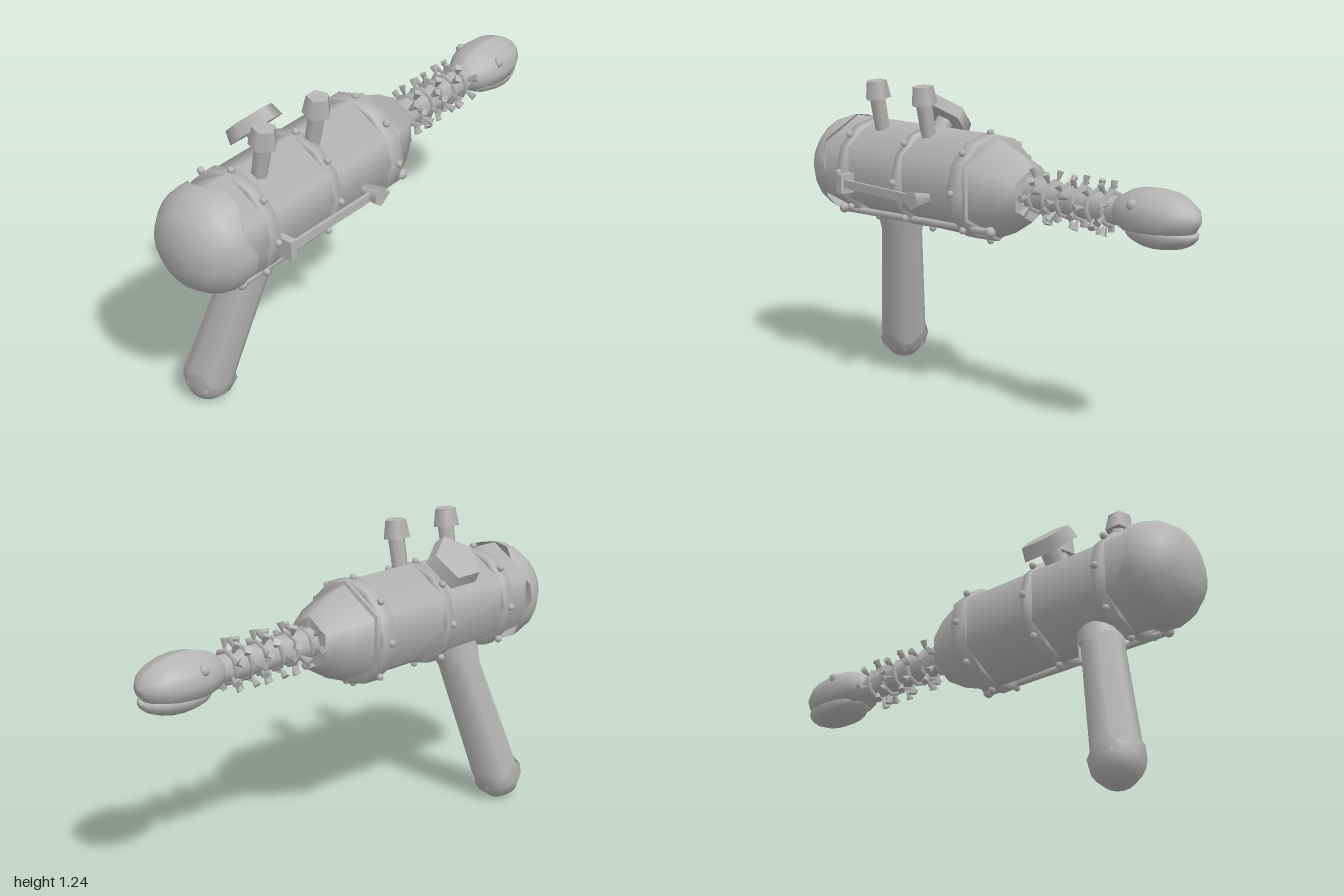
import * as THREE from 'three';

export function createModel() {
  const model = new THREE.Group();
  const grey = new THREE.MeshStandardMaterial({ color: 0xb4b4b4, side: THREE.DoubleSide });
  grey.name = 'plain grey';
  const V = (x, y, z) => new THREE.Vector3(x, y, z);
  const UP = V(0, 1, 0);
  const AXIS = 0.865; // height of the barrel axis

  function add(name, geometry, x = 0, y = 0, z = 0, parent = model) {
    const mesh = new THREE.Mesh(geometry, grey);
    mesh.name = name;
    mesh.position.set(x, y, z);
    parent.add(mesh);
    return mesh;
  }
  const lathe = (pts, sides, start = 0) =>
    new THREE.LatheGeometry(pts.map(p => new THREE.Vector2(p[0], p[1])), sides, start);
  // Lathe with one rim row cut into blocky teeth
  function toothed(pts, sides, row, depth) {
    const g = lathe(pts, sides), pos = g.attributes.position;
    for (let i = 0; i <= sides; i++) {
      const k = i * pts.length + row;
      if (Math.floor((i % sides) / 2) % 2) pos.setY(k, pos.getY(k) + depth);
    }
    return g;
  }
  // Lathe profile [radius, x] turned round the barrel axis
  function turned(name, geometry) {
    const mesh = add(name, geometry, 0, AXIS, 0);
    mesh.rotation.z = -Math.PI / 2;
    return mesh;
  }
  // Tapered bar between two points
  function bar(name, a, b, r1, r2, sides) {
    const d = b.clone().sub(a);
    const mesh = add(name, new THREE.CylinderGeometry(r2, r1, d.length(), sides));
    mesh.position.copy(a).addScaledVector(d, 0.5);
    mesh.quaternion.setFromUnitVectors(UP, d.normalize());
    return mesh;
  }

  // Six-sided barrel, nose cone and end plates
  const HEX = Math.PI / 6;
  turned('barrel', lathe([[0.208, -0.84], [0.212, 0.015]], 6, HEX));
  turned('barrelRim', lathe([[0.212, 0.015], [0.192, 0.022]], 6, HEX));
  turned('noseCone', lathe([[0.198, 0.018], [0.163, 0.11], [0.108, 0.2]], 6, HEX));
  turned('nosePlate', lathe([[0.108, 0.2], [0, 0.2]], 6, HEX));

  // Rounded rear cap with a toothed edge
  turned('rearDome', toothed([[0, -1], [0.075, -0.997], [0.15, -0.96], [0.195, -0.9],
    [0.208, -0.855], [0.21, -0.805]], 20, 5, -0.04));

  // Riveted bands
  for (const [x, width, r] of [[-0.71, 0.045, 0.211], [-0.37, 0.035, 0.211], [-0.03, 0.06, 0.213]]) {
    turned('band', lathe([[r - 0.03, x - width / 2], [r, x - width / 2],
      [r, x + width / 2], [r - 0.03, x + width / 2]], 12));
    for (let i = 0; i < 8; i++) {
      const a = i * Math.PI / 4;
      add('rivet', new THREE.SphereGeometry(0.015, 6, 5),
        x, AXIS + 0.216 * Math.cos(a), 0.216 * Math.sin(a));
    }
  }

  // Slanting grip with toothed collar and end cap
  const grip = new THREE.Group();
  grip.name = 'grip';
  grip.position.set(-0.757, 0.008, -0.172);
  grip.quaternion.setFromUnitVectors(UP, V(0.14, 0.55, 0.125).normalize());
  model.add(grip);
  add('gripShaft', lathe([[0.1, 0.07], [0.085, 0.74]], 7), 0, 0, 0, grip);
  add('gripCap', toothed([[0, 0], [0.06, 0.014], [0.097, 0.065], [0.107, 0.14]], 16, 3, -0.035), 0, 0, 0, grip);
  add('gripCollar', toothed([[0.092, 0.635], [0.092, 0.72]], 16, 0, 0.03), 0, 0, 0, grip);

  // Bent neck tube with collars of thorns
  bar('neck', V(0.19, 0.872, 0), V(0.66, 0.865, 0), 0.062, 0.055, 8);
  for (let ring = 0; ring < 6; ring++) {
    const x = 0.235 + ring * 0.074;
    const collar = add('neckCollar', new THREE.TorusGeometry(0.062, 0.011, 4, 8), x, 0.868, 0);
    collar.rotation.y = Math.PI / 2;
    for (let i = 0; i < 8; i++) {
      const a = (i + (ring % 2) * 0.5) * Math.PI / 4;
      const lean = ((i * 5 + ring * 3) % 7 - 3) * 0.12;
      const out = V(lean, Math.cos(a), Math.sin(a)).normalize();
      const base = V(x, 0.868, 0).addScaledVector(out, 0.062);
      bar('thorn', base, base.clone().addScaledVector(out, 0.043), 0.006, 0.018, 4);
    }
  }

  // Head: upper skull and lower jaw, each an ellipsoid cut flat at the mouth
  function cutEllipsoid(name, centre, size, low, high) {
    const g = new THREE.SphereGeometry(1, 12, 10);
    g.rotateZ(-Math.PI / 2);
    const p = g.attributes.position;
    for (let i = 0; i < p.count; i++) p.setY(i, THREE.MathUtils.clamp(p.getY(i), low, high));
    g.scale(...size);
    g.computeVertexNormals();
    add(name, g, ...centre);
  }
  cutEllipsoid('skull', [0.813, 0.875, 0], [0.187, 0.1, 0.12], -0.65, 1);
  cutEllipsoid('jaw', [0.84, 0.818, 0], [0.152, 0.062, 0.1], -1, 0.15);
  for (const s of [-1, 1]) add('eye', new THREE.SphereGeometry(0.022, 6, 5), 0.78, 0.92, s * 0.095);

  // Side rail on its two brackets
  const rail = add('sideRail', new THREE.BoxGeometry(0.48, 0.035, 0.014), -0.44, 0.822, 0.228);
  rail.rotation.z = -0.02;
  add('railBracket', new THREE.BoxGeometry(0.03, 0.08, 0.07), -0.668, 0.825, 0.215);
  bar('railBracket', V(-0.2, 0.822, 0.18), V(-0.2, 0.822, 0.268), 0.022, 0.04, 5);

  // Thin pipe under the barrel with bulbous ends
  const pipeEnds = [V(-0.8, 0.69, 0.115), V(0.1, 0.722, 0.13)];
  bar('lowerPipe', ...pipeEnds, 0.014, 0.014, 6);
  for (const p of pipeEnds) add('pipeEnd', new THREE.SphereGeometry(0.022, 7, 5), p.x, p.y, p.z);

  // Two knobs on top
  for (const x of [-0.62, -0.335]) {
    const foot = V(x, 1.04, 0.05), neck = V(x, 1.17, 0.075), top = V(x, 1.243, 0.082);
    bar('knobStem', foot, neck, 0.032, 0.034, 6);
    bar('knobCap', neck, top, 0.056, 0.044, 5);
  }

  // Tilted five-sided plate on the back shoulder
  bar('shoulderMount', V(-0.44, 1.0, -0.08), V(-0.44, 1.08, -0.14), 0.04, 0.04, 6);
  bar('shoulderPlate', V(-0.44, 1.075, -0.128), V(-0.44, 1.115, -0.165), 0.118, 0.105, 5);

  return model;
}
